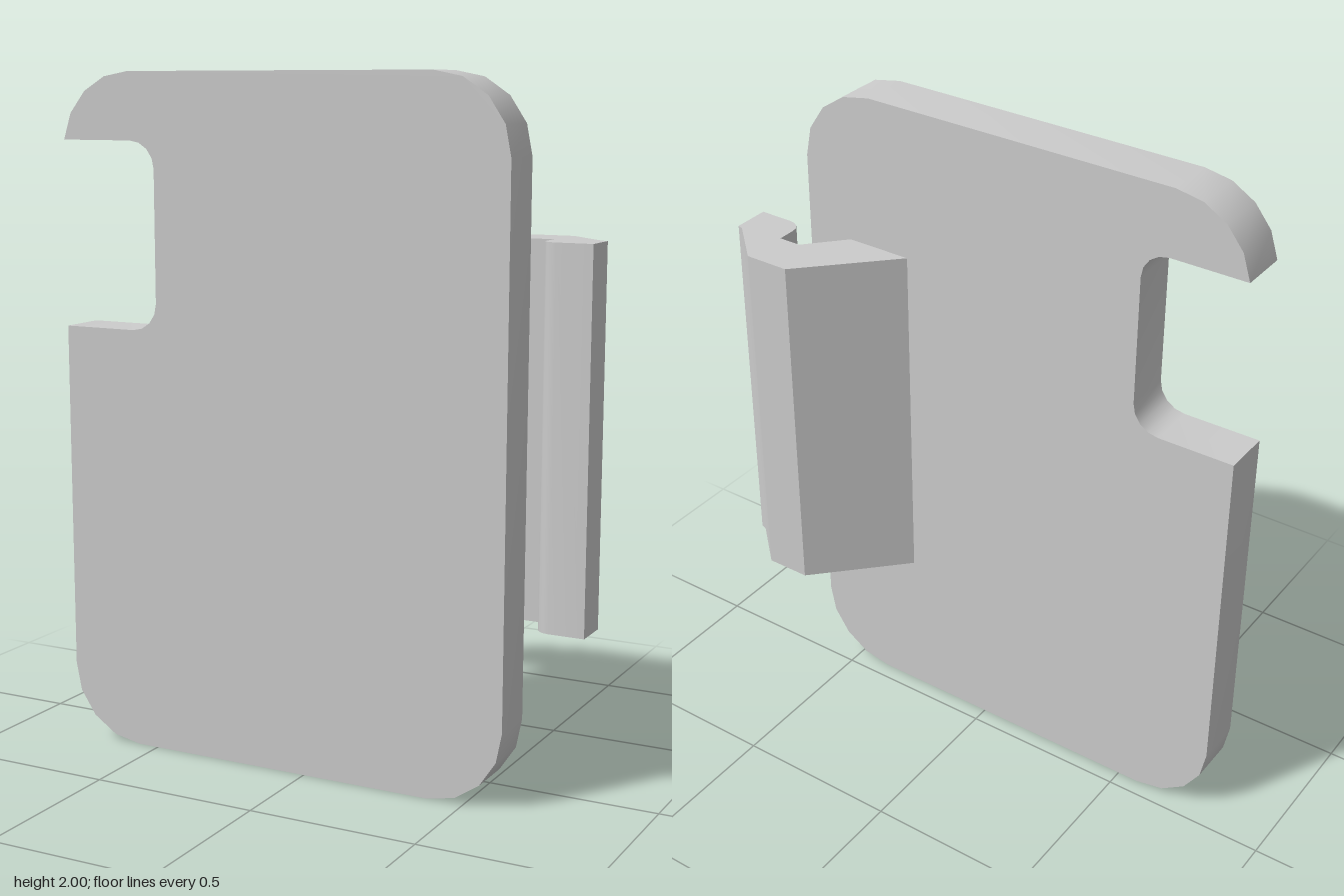
import * as THREE from 'three';
import { toCreasedNormals } from 'three/addons/utils/BufferGeometryUtils.js';

const material = new THREE.MeshStandardMaterial({ color: 0xcccccc });

function extrude(shape, depth, curveSegments) {
  const geometry = new THREE.ExtrudeGeometry(shape, { depth, curveSegments, bevelEnabled: false });
  return toCreasedNormals(geometry, 0.5);
}

// Flat plate with rounded corners and a notch open to its right edge
function createPlate() {
  const left = 0.615, right = -0.79, top = 2, r = 0.225;
  const notchX = -0.48, notchLow = 1.26, notchHigh = 1.805, nr = 0.08;
  const s = new THREE.Shape();
  s.moveTo(right + r, 0);
  s.absarc(left - r, r, r, -Math.PI / 2, 0, false);
  s.absarc(left - r, top - r, r, 0, Math.PI / 2, false);
  const end = Math.PI - Math.asin((notchHigh - top + r) / r);
  s.absarc(right + r, top - r, r, Math.PI / 2, end, false);
  s.absarc(notchX - nr, notchHigh - nr, nr, Math.PI / 2, 0, true);
  s.absarc(notchX - nr, notchLow + nr, nr, 0, -Math.PI / 2, true);
  s.lineTo(right, notchLow);
  s.absarc(right + r, r, r, Math.PI, Math.PI * 1.5, false);
  const mesh = new THREE.Mesh(extrude(s, 0.145, 2), material);
  mesh.name = 'plate';
  mesh.position.z = 0.05;
  return mesh;
}

// Hooked clip: a constant x/z section extruded upward (section y is -z)
function createClip() {
  const s = new THREE.Shape();
  s.moveTo(0.265, -0.055);
  s.lineTo(0.465, -0.055);
  s.lineTo(0.57, 0.06);
  s.lineTo(0.638, 0.06);
  s.lineTo(0.638, 0.005);
  s.absarc(0.683, 0.005, 0.045, Math.PI, Math.PI * 1.5, false);
  s.lineTo(0.787, -0.04);
  s.lineTo(0.787, 0.07);
  s.lineTo(0.77, 0.075);
  s.lineTo(0.645, 0.195);
  s.lineTo(0.51, 0.195);
  s.closePath();
  const mesh = new THREE.Mesh(extrude(s, 1.075, 2), material);
  mesh.name = 'clip';
  mesh.rotation.x = -Math.PI / 2;
  mesh.position.y = 0.475;
  return mesh;
}

export function createModel() {
  const model = new THREE.Group();
  model.name = 'clipPlate';
  model.add(createPlate(), createClip());
  return model;
}
